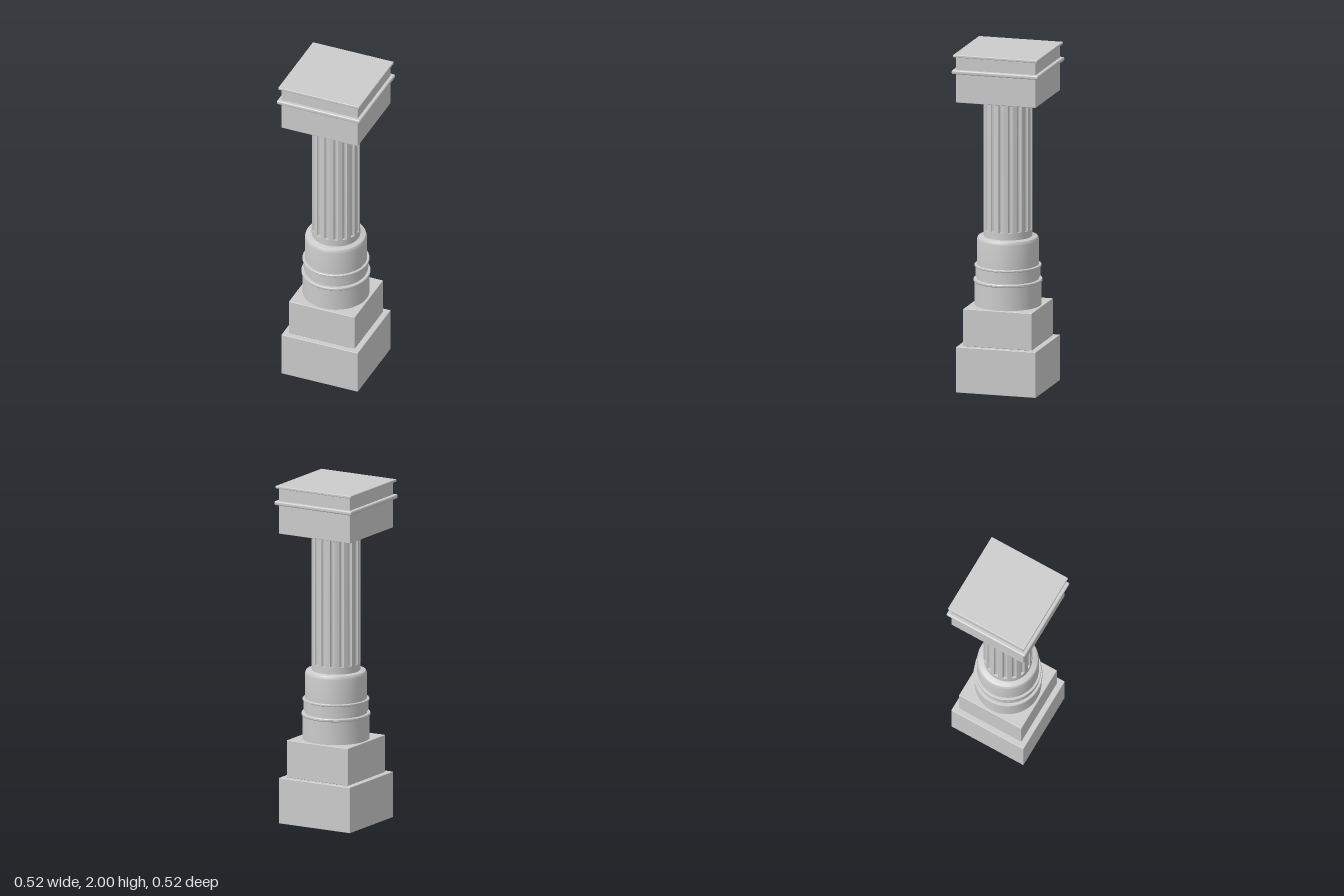
import * as THREE from 'three';
import { toCreasedNormals } from 'three/addons/utils/BufferGeometryUtils.js';
import { RoundedBoxGeometry } from 'three/addons/geometries/RoundedBoxGeometry.js';

const FLUTES = 16;
const SHAFT_RADIUS = 0.14;

export function createModel() {
  const model = new THREE.Group();
  model.name = 'column';
  const stone = new THREE.MeshStandardMaterial({ color: 0xcccccc });

  const add = (name, geometry, y = 0) => {
    const mesh = new THREE.Mesh(geometry, stone);
    mesh.name = name;
    mesh.position.y = y;
    model.add(mesh);
  };

  // Square block spanning y0..y1 with softly eased edges
  const block = (name, half, y0, y1, ease = 0.003) =>
    add(name, new RoundedBoxGeometry(half * 2, y1 - y0, half * 2, 2, ease), (y0 + y1) / 2);

  // Turned part from [radius, y] pairs, listed bottom to top
  const turned = (name, profile) => {
    const points = profile.map(([r, y]) => new THREE.Vector2(r, y));
    add(name, toCreasedNormals(new THREE.LatheGeometry(points, 48), 0.6));
  };

  // Stepped square pedestal
  block('plinth', 0.24, 0, 0.27);
  block('pedestal', 0.207, 0.27, 0.49);

  // Round base: lower drum, two raised rings, shouldered upper drum
  turned('lowerDrum', [[0, 0.49], [0.193, 0.49], [0.193, 0.628], [0, 0.628]]);
  turned('lowerRing', [[0.17, 0.626], [0.196, 0.626], [0.199, 0.63], [0.199, 0.639], [0.196, 0.643], [0.17, 0.643]]);
  turned('neck', [[0.18, 0.64], [0.18, 0.66]]);
  turned('middleBand', [[0.17, 0.658], [0.186, 0.658], [0.186, 0.718], [0.17, 0.718]]);
  turned('upperRing', [[0.17, 0.715], [0.19, 0.715], [0.193, 0.718], [0.193, 0.725], [0.19, 0.728], [0.17, 0.728]]);
  turned('upperDrum', [[0.179, 0.72], [0.179, 0.87], [0.177, 0.882], [0.172, 0.891], [0.163, 0.895], [0, 0.895]]);

  // Plain collars at both ends of the shaft
  const collar = (name, y0, y1) =>
    turned(name, [[0, y0], [SHAFT_RADIUS, y0], [SHAFT_RADIUS, y1], [0, y1]]);
  collar('shaftFoot', 0.89, 0.937);
  collar('shaftHead', 1.706, 1.718);

  // Fluted shaft: circle with a scalloped groove at each step, extruded upward
  const outline = [];
  const step = (Math.PI * 2) / FLUTES;
  const grooveHalf = step * 0.25;
  for (let i = 0; i < FLUTES; i++) {
    for (let j = 0; j <= 8; j++) {
      const t = (j / 8) * Math.PI;
      const angle = i * step - Math.cos(t) * grooveHalf;
      const r = SHAFT_RADIUS - 0.014 * Math.sin(t);
      outline.push(new THREE.Vector2(r * Math.cos(angle), r * Math.sin(angle)));
    }
    for (let j = 1; j < 3; j++) {
      const angle = i * step + grooveHalf + (j / 3) * (step - 2 * grooveHalf);
      outline.push(new THREE.Vector2(SHAFT_RADIUS * Math.cos(angle), SHAFT_RADIUS * Math.sin(angle)));
    }
  }
  const shaft = new THREE.ExtrudeGeometry(new THREE.Shape(outline), { depth: 0.774, bevelEnabled: false });
  shaft.rotateX(-Math.PI / 2);
  add('flutedShaft', toCreasedNormals(shaft, 0.7), 0.934);

  // Square capital with a projecting band and a thin top slab
  block('capital', 0.24, 1.715, 1.99);
  block('capitalBand', 0.261, 1.886, 1.91, 0.008);
  block('topSlab', 0.254, 1.984, 2.0, 0.004);

  return model;
}
